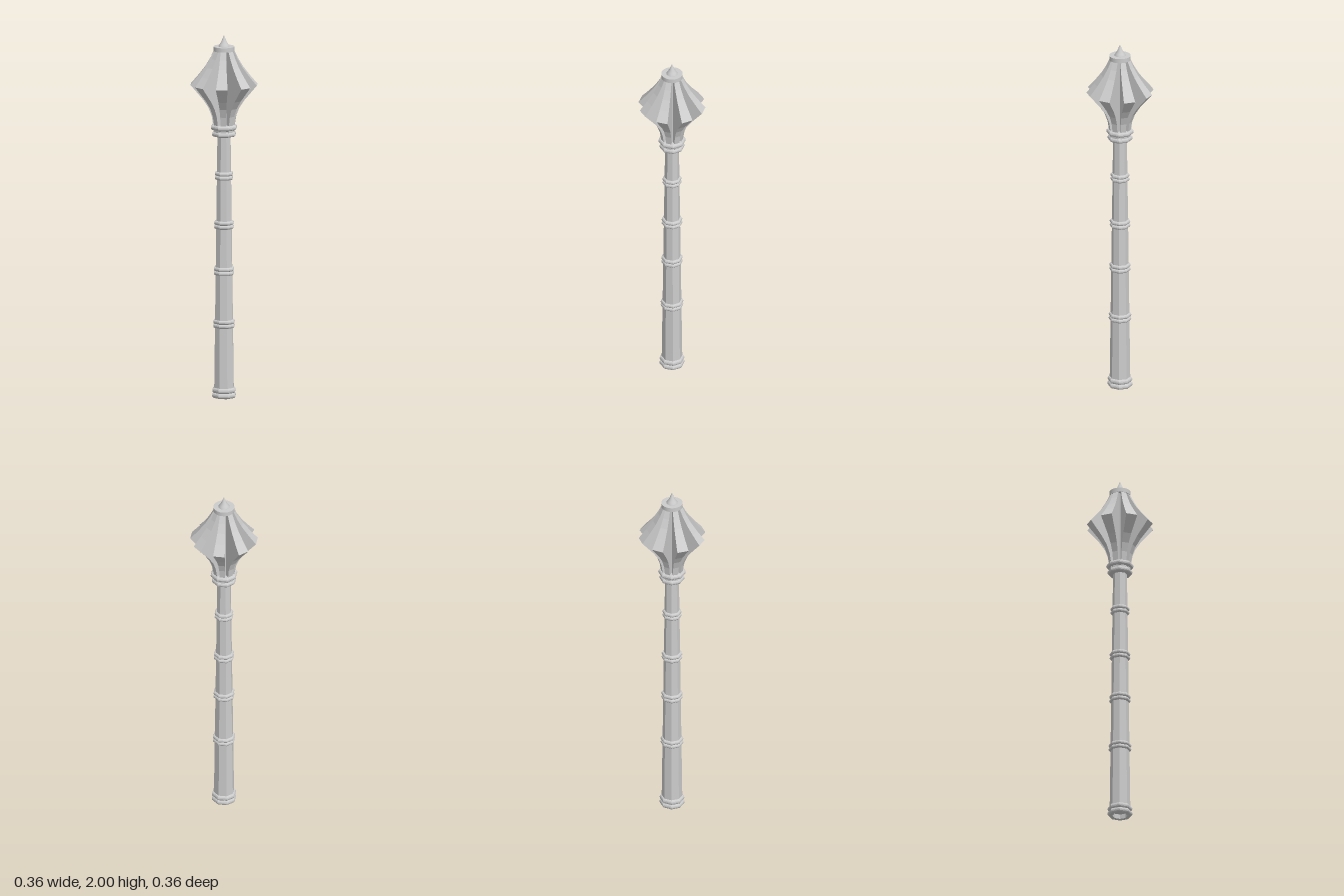
import * as THREE from 'three';

const SIDES = 8;
const FLAT = 1 / Math.cos(Math.PI / SIDES); // flat-to-corner radius ratio
const steel = new THREE.MeshStandardMaterial({ color: 0xcccccc, flatShading: true, side: THREE.DoubleSide });
const smoothSteel = new THREE.MeshStandardMaterial({ color: 0xcccccc });

export function createModel() {
  const model = new THREE.Group();

  const add = (name, geometry, material = steel) => {
    const mesh = new THREE.Mesh(geometry, material);
    mesh.name = name;
    model.add(mesh);
    return mesh;
  };

  // Octagonal turned part; radii are measured to the flats, which face front
  const octagon = (name, profile) => add(name, new THREE.LatheGeometry(
    profile.map(([r, y]) => new THREE.Vector2(r * FLAT, y)), SIDES, Math.PI / SIDES));

  // Rounded band bulging from radius inner to outer between two heights
  const bead = (inner, outer, y0, y1) => {
    const points = [];
    for (let i = 0; i <= 6; i++) {
      const a = (i / 6) * Math.PI;
      points.push([inner + (outer - inner) * Math.sin(a), y0 + (y1 - y0) * (1 - Math.cos(a)) / 2]);
    }
    return points;
  };

  // Tapered shaft, running on as the core of the head
  octagon('shaft', [[0, 0.03], [0.052, 0.03], [0.035, 1.44], [0.035, 1.92], [0, 1.92]]);

  // Double-beaded grip rings
  [[0.41, 0.057], [0.70, 0.054], [0.955, 0.052], [1.225, 0.048]].forEach(([y, r]) => {
    octagon('gripRing', [
      [r - 0.018, y - 0.022],
      ...bead(r - 0.009, r, y - 0.022, y),
      ...bead(r - 0.009, r, y, y + 0.022),
      [r - 0.018, y + 0.022],
    ]);
  });

  // Pommel ring with a hollow end
  octagon('pommel', [
    [0.038, 0.03], [0.038, 0.004], [0.046, 0],
    ...bead(0.052, 0.063, 0.002, 0.03),
    ...bead(0.052, 0.062, 0.03, 0.058),
    [0.045, 0.058],
  ]);

  // Collar below the head
  octagon('headCollar', [
    [0.03, 1.442],
    ...bead(0.053, 0.063, 1.442, 1.468),
    [0.052, 1.475],
    ...bead(0.056, 0.069, 1.478, 1.506),
    [0.03, 1.506],
  ]);

  // Eight flanges, each thickening outward to a blunt edge
  const outline = new THREE.Shape([
    [0.02, 1.46], [0.056, 1.46], [0.057, 1.5], [0.066, 1.555], [0.083, 1.6], [0.112, 1.645], [0.18, 1.727],
    [0.137, 1.778], [0.101, 1.826], [0.074, 1.872], [0.054, 1.915], [0.02, 1.915],
  ].map(([x, y]) => new THREE.Vector2(x, y)));
  const flange = new THREE.ExtrudeGeometry(outline, { depth: 2, bevelEnabled: false }).translate(0, 0, -1);
  const p = flange.attributes.position;
  for (let i = 0; i < p.count; i++) {
    p.setZ(i, p.getZ(i) * (0.007 + 0.138 * p.getX(i)));
  }
  flange.computeVertexNormals();
  for (let i = 0; i < SIDES; i++) {
    add('flange', flange).rotation.y = (i / SIDES) * Math.PI * 2;
  }

  // Round cap and pointed finial
  add('capDisc', new THREE.CylinderGeometry(0.058, 0.058, 0.024, 32).translate(0, 1.924, 0), smoothSteel);
  add('finial', new THREE.LatheGeometry([
    [0.03, 1.934], [0.03, 1.939], [0.023, 1.949], [0.014, 1.964], [0.007, 1.982], [0, 2],
  ].map(([r, y]) => new THREE.Vector2(r, y)), 32), smoothSteel);

  return model;
}
